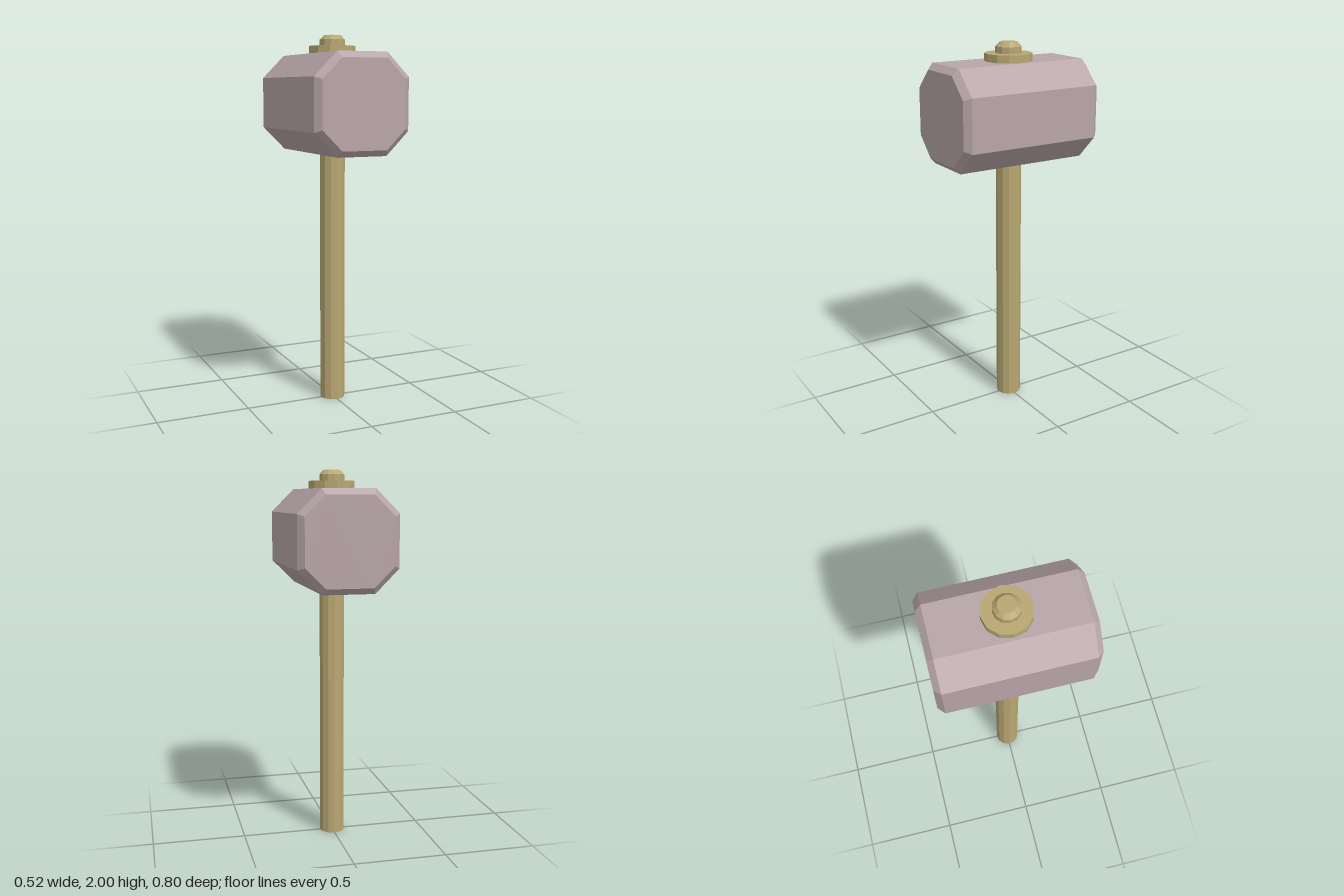
import * as THREE from 'three';

const wood = new THREE.MeshStandardMaterial({ color: 0xb9a772, flatShading: true });
const stone = new THREE.MeshStandardMaterial({ color: 0xb8a5a9, flatShading: true });

const SIDES = 12;

function addPart(group, name, geometry, material, y = 0) {
  const mesh = new THREE.Mesh(geometry, material);
  mesh.name = name;
  mesh.position.y = y;
  group.add(mesh);
}

// Turned part from [radius, height] points
function turned(points) {
  return new THREE.LatheGeometry(points.map(([r, y]) => new THREE.Vector2(r, y)), SIDES);
}

export function createModel() {
  const group = new THREE.Group();
  group.name = 'mallet';

  // Octagonal head: the bevel grows the end face out to the full section
  const a = 0.23, c = 0.124, depth = 0.74, bevel = 0.032;
  const octagon = new THREE.Shape([
    [a, -c], [a, c], [c, a], [-c, a], [-a, c], [-a, -c], [-c, -a], [c, -a],
  ].map(([x, y]) => new THREE.Vector2(x, y)));
  const head = new THREE.ExtrudeGeometry(octagon, {
    depth, bevelThickness: bevel, bevelSize: bevel, bevelSegments: 1,
  });
  head.translate(0, 0, -depth / 2);
  addPart(group, 'head', head, stone, 1.641);

  // Handle runs through the head and ends in a chamfered tip
  addPart(group, 'handle', turned([[0, 0], [0.068, 0], [0.068, 1.977], [0.045, 2], [0, 2]]), wood);

  // Collar resting on top of the head
  addPart(group, 'collar', new THREE.CylinderGeometry(0.125, 0.125, 0.05, SIDES), wood, 1.918);

  return group;
}
